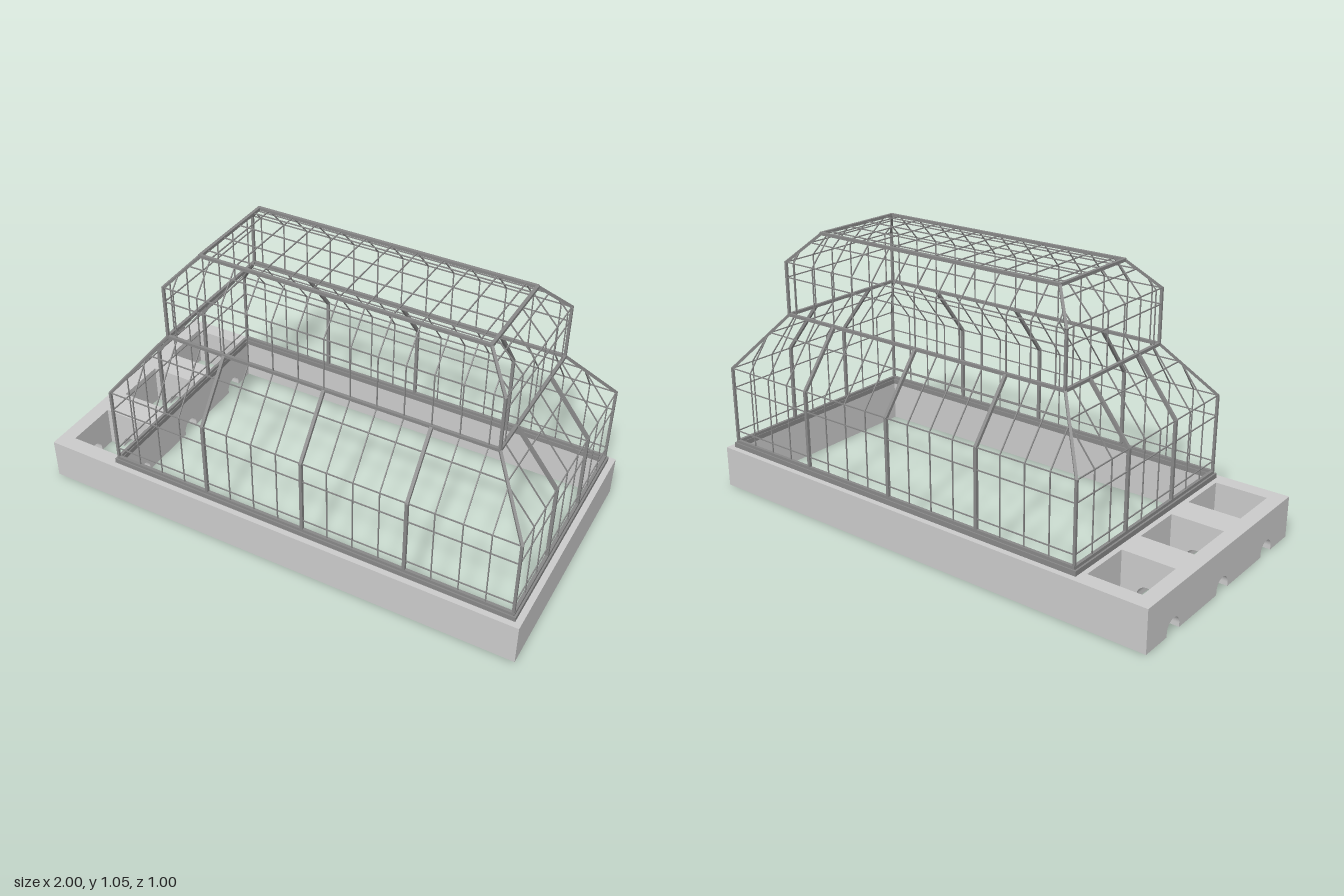
import * as THREE from 'three';
import { mergeGeometries } from 'three/addons/utils/BufferGeometryUtils.js';

const CX = 0.134;               // centre of the glasshouse along x
const HX = 0.829, HZ = 0.466;   // half sizes of its footprint
const BASE_H = 0.168;
// Wall profile from sill to roof: [height, inset from the footprint]
const PROFILE = [[0.194, 0], [0.51, 0], [0.725, 0.167], [0.938, 0.167], [1.047, 0.267]];
const ROOF_Y = 1.047, ROOF_INSET = 0.267;
const THIN = 0.004, THICK = 0.012, CORNER = 0.01;

const stone = new THREE.MeshStandardMaterial({ color: 0xcccccc });
const metal = new THREE.MeshStandardMaterial({ color: 0x888888 });

function addMesh(parent, name, material, geometries) {
  const mesh = new THREE.Mesh(mergeGeometries(geometries), material);
  mesh.name = name;
  parent.add(mesh);
}

// Box given by its limits
function block(x0, x1, y0, y1, z0, z1) {
  return new THREE.BoxGeometry(x1 - x0, y1 - y0, z1 - z0)
    .translate((x0 + x1) / 2, (y0 + y1) / 2, (z0 + z1) / 2);
}

// Square bar between two points
function bar(a, b, w) {
  const o = new THREE.Object3D();
  o.position.copy(a).add(b).multiplyScalar(0.5);
  o.lookAt(b);
  o.updateMatrix();
  return new THREE.BoxGeometry(w, w, a.distanceTo(b) + w * 0.6).applyMatrix4(o.matrix);
}

function barPath(points, w) {
  return points.slice(1).map((p, i) => bar(points[i], p, w));
}

function insetAt(y) {
  for (let i = 1; i < PROFILE.length; i++) {
    const [y0, s0] = PROFILE[i - 1], [y1, s1] = PROFILE[i];
    if (y <= y1) return s0 + (s1 - s0) * (y - y0) / (y1 - y0);
  }
  return ROOF_INSET;
}

// Horizontal rectangular ring of bars following the profile
function ring(y, w) {
  const s = insetAt(y), x = HX - s, z = HZ - s;
  const p = [[-x, -z], [x, -z], [x, z], [-x, z], [-x, -z]]
    .map(([a, b]) => new THREE.Vector3(CX + a, y, b));
  return barPath(p, w);
}

// Rib heights and insets, cut off where the rib meets the hip
function ribProfile(limit, rows) {
  const out = [rows[0]];
  for (let i = 1; i < rows.length; i++) {
    const [y0, s0] = rows[i - 1], [y1, s1] = rows[i];
    if (s1 > limit) {
      out.push([y0 + (y1 - y0) * (limit - s0) / (s1 - s0), limit]);
      break;
    }
    out.push(rows[i]);
  }
  return out;
}

// Ribs on two opposite sides at equal spacing
function ribs(count, alongX, w, rows, overRoof) {
  const L = alongX ? HX : HZ, D = alongX ? HZ : HX;
  const point = (s, y, d) => alongX
    ? new THREE.Vector3(CX + s, y, d) : new THREE.Vector3(CX + d, y, s);
  const out = [];
  for (let i = 1; i < count; i++) {
    const s = -L + 2 * L * i / count, limit = L - Math.abs(s);
    for (const side of [-1, 1]) {
      const pts = ribProfile(limit, rows).map(([y, inset]) => point(s, y, side * (D - inset)));
      out.push(...barPath(pts, w));
    }
    if (overRoof && limit > ROOF_INSET) {
      const d = D - ROOF_INSET;
      out.push(bar(point(s, ROOF_Y, -d), point(s, ROOF_Y, d), w));
    }
  }
  return out;
}

// Wall along x with round-headed openings along its foot
function archWall(u0, u1, depth, arches) {
  const r = 0.04, leg = 0.015;
  const shape = new THREE.Shape().moveTo(u0, 0);
  for (const c of arches) {
    shape.lineTo(c - r, 0).lineTo(c - r, leg);
    shape.absarc(c, leg, r, Math.PI, 0, true);
    shape.lineTo(c + r, 0);
  }
  shape.lineTo(u1, 0).lineTo(u1, BASE_H).lineTo(u0, BASE_H).closePath();
  return new THREE.ExtrudeGeometry(shape, { depth, bevelEnabled: false, curveSegments: 16 });
}

function makeBase() {
  const base = new THREE.Group();
  base.name = 'base';
  const H = BASE_H, arches = [-0.333, 0, 0.333];
  // Outer walls around the open floor
  addMesh(base, 'outerWalls', stone, [
    block(-0.94, 1, 0, H, 0.458, 0.5),
    block(-0.94, 1, 0, H, -0.5, -0.458),
    block(0.955, 1, 0, H, -0.458, 0.458),
    block(-0.94, -0.728, 0, H, 0.438, 0.458),
    block(-0.94, -0.728, 0, H, -0.458, -0.438),
  ]);
  // End wall and divider with drain arches
  addMesh(base, 'endWall', stone,
    [archWall(-0.5, 0.5, 0.06, arches).rotateY(-Math.PI / 2).translate(-0.94, 0, 0)]);
  addMesh(base, 'dividerWall', stone,
    [archWall(-0.458, 0.458, 0.036, arches).rotateY(-Math.PI / 2).translate(-0.692, 0, 0)]);
  // Partitions between the three planter wells
  addMesh(base, 'planterPartitions', stone, [-1, 1].map(s =>
    archWall(-0.94, -0.728, 0.123, [-0.834]).translate(0, 0, s * 0.1667 - 0.0615)));
  return base;
}

function makeGlasshouse() {
  const house = new THREE.Group();
  house.name = 'glasshouseFrame';
  // Sill on top of the base
  const ox = 0.842, oz = 0.477, t = 0.022, y0 = BASE_H, y1 = 0.188;
  addMesh(house, 'sill', metal, [
    block(CX - ox, CX + ox, y0, y1, oz - t, oz),
    block(CX - ox, CX + ox, y0, y1, -oz, -oz + t),
    block(CX - ox, CX - ox + t, y0, y1, -oz + t, oz - t),
    block(CX + ox - t, CX + ox, y0, y1, -oz + t, oz - t),
  ]);
  // Corner posts and hips
  const corners = [];
  for (const sx of [-1, 1]) for (const sz of [-1, 1]) {
    corners.push(...barPath(PROFILE.map(([y, s]) =>
      new THREE.Vector3(CX + sx * (HX - s), y, sz * (HZ - s))), CORNER));
  }
  addMesh(house, 'cornerPosts', metal, corners);
  addMesh(house, 'mainRails', metal, [0.194, 0.725, ROOF_Y].flatMap(y => ring(y, THICK)));
  addMesh(house, 'glazingRails', metal,
    [0.24, 0.427, 0.51, 0.653, 0.877, 0.938, 1.012].flatMap(y => ring(y, THIN)));
  // Heavy posts of the lower storey
  const lower = PROFILE.slice(0, 3);
  addMesh(house, 'lowerPosts', metal,
    [...ribs(4, true, THICK, lower, false), ...ribs(3, false, THICK, lower, false)]);
  // Fine glazing bars over walls, slopes and flat roof
  addMesh(house, 'glazingBars', metal,
    [...ribs(16, true, THIN, PROFILE, true), ...ribs(9, false, THIN, PROFILE, true)]);
  return house;
}

export function createModel() {
  const model = new THREE.Group();
  model.name = 'greenhouse';
  model.add(makeBase(), makeGlasshouse());
  return model;
}
